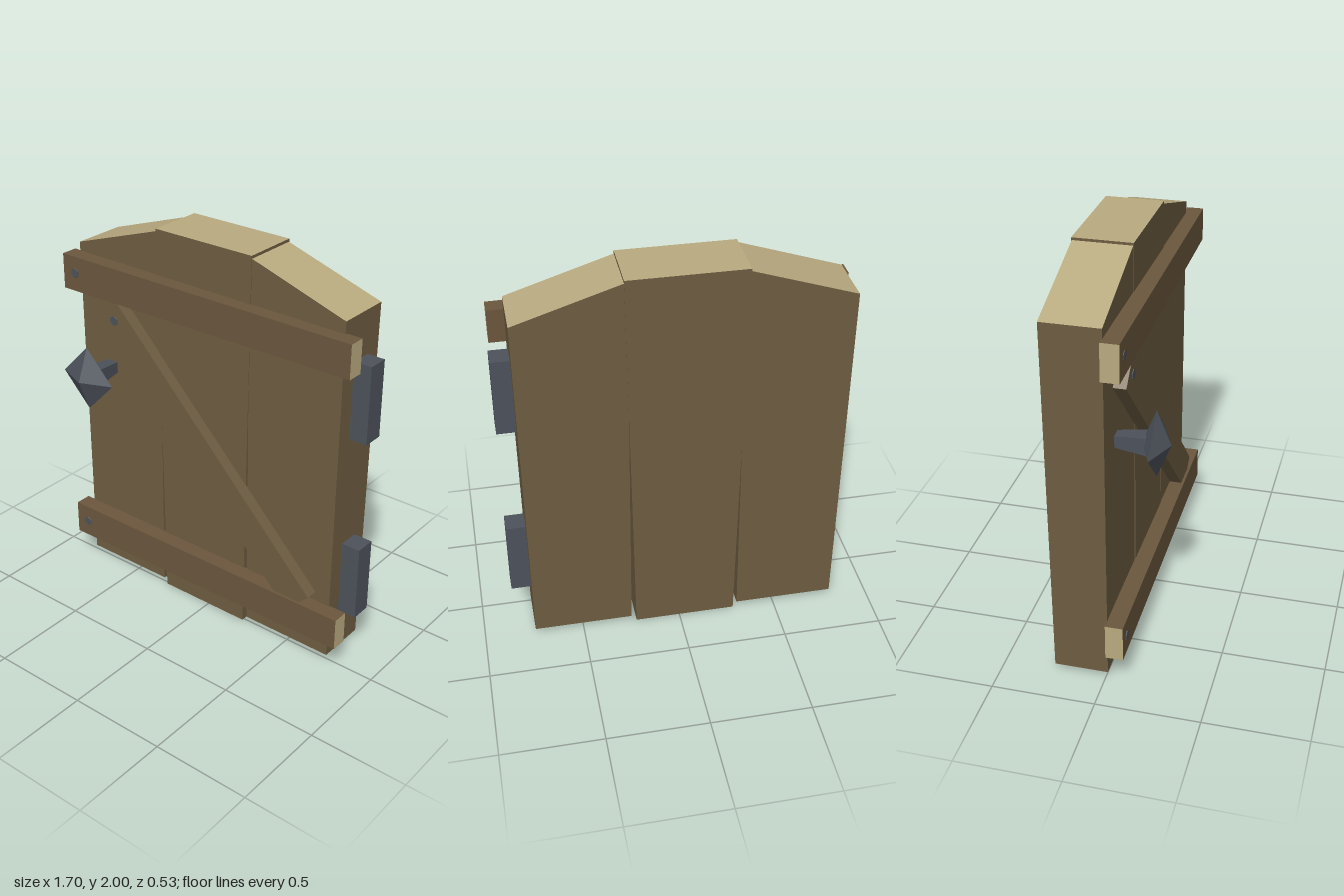
import * as THREE from 'three';

const mat = (name, color, side = THREE.FrontSide) => {
  const m = new THREE.MeshStandardMaterial({ color, side });
  m.name = name;
  return m;
};

// Four-sided slab. Corners run counter-clockwise from bottom left as
// [x, y, zFront, zBack]; edges give the material index of the bottom, right,
// top and left faces (null leaves that face open).
function slab(corners, edges) {
  const geo = new THREE.BufferGeometry();
  const pos = [];
  const front = corners.map(([x, y, f]) => [x, y, f]);
  const back = corners.map(([x, y, , b]) => [x, y, b]);
  const quad = (a, b, c, d, material) => {
    geo.addGroup(pos.length / 3, 6, material);
    pos.push(...a, ...b, ...c, ...a, ...c, ...d);
  };
  quad(...front, 0);
  quad(back[1], back[0], back[3], back[2], 0);
  edges.forEach((m, i) => {
    const j = (i + 1) % 4;
    if (m !== null) quad(front[i], back[i], back[j], front[j], m);
  });
  geo.setAttribute('position', new THREE.Float32BufferAttribute(pos, 3));
  geo.computeVertexNormals();
  return geo;
}

export function createModel() {
  const model = new THREE.Group();
  model.name = 'woodenDoor';
  const plankWood = mat('plank wood', 0x6e5d41, THREE.DoubleSide);
  const battenWood = mat('batten wood', 0x6c573d);
  const endGrain = mat('pale end grain', 0xb9ab80, THREE.DoubleSide);
  const iron = mat('dark iron', 0x4d525b);
  iron.flatShading = true;

  const add = (name, geo, material, x = 0, y = 0, z = 0) => {
    const mesh = new THREE.Mesh(geo, material);
    mesh.name = name;
    mesh.position.set(x, y, z);
    model.add(mesh);
    return mesh;
  };

  // Planks: open underneath, pale sawn tops, slightly tapered
  const planks = {
    rightPlank: [[-0.805, 0.03, 0.01, -0.25], [-0.305, 0.03, 0.01, -0.25],
      [-0.293, 1.993, 0.015, -0.262], [-0.812, 1.82, 0.015, -0.262]],
    middlePlank: [[-0.285, 0, 0.012, -0.252], [0.225, 0, 0.012, -0.252],
      [0.25, 2, 0.018, -0.265], [-0.31, 2, 0.018, -0.265]],
    leftPlank: [[0.25, 0.03, 0.01, -0.25], [0.745, 0.03, 0.01, -0.25],
      [0.756, 1.825, 0.015, -0.262], [0.236, 1.99, 0.015, -0.262]],
  };
  for (const [name, corners] of Object.entries(planks))
    add(name, slab(corners, [null, 0, 1, 0]), [plankWood, endGrain]);

  // Cross battens with pale ends
  for (const [name, y] of [['upperBatten', 1.595], ['lowerBatten', 0.155]])
    add(name, slab([[-0.85, y, 0.097, 0.012], [0.835, y + 0.003, 0.087, 0.004],
      [0.835, y + 0.17, 0.087, 0.004], [-0.85, y + 0.18, 0.097, 0.012]],
    [0, 1, 0, 1]), [battenWood, endGrain]);

  // Diagonal brace
  const brace = add('diagonalBrace', new THREE.BoxGeometry(1.715, 0.18, 0.065),
    plankWood, 0, 0.925, 0.042);
  brace.rotation.z = -Math.atan2(1.225, 1.2);

  // Nail heads
  for (const [x, y, z] of [[-0.775, 1.69, 0.097], [-0.775, 0.245, 0.097], [-0.545, 1.49, 0.075]])
    add('nailHead', new THREE.CylinderGeometry(0.025, 0.027, 0.006, 6), iron, x, y, z)
      .rotation.x = Math.PI / 2;

  // Hinges
  for (const [name, y] of [['upperHinge', 1.41], ['lowerHinge', 0.453]])
    add(name, new THREE.BoxGeometry(0.11, 0.388, 0.106), iron, 0.79, y, -0.123);

  // Faceted knob on a flared square stem
  add('knob', new THREE.OctahedronGeometry(1), iron, -0.62, 1.2, 0.198)
    .scale.set(0.162, 0.167, 0.067);
  const stem = new THREE.CylinderGeometry(0.062, 0.04, 0.155, 4);
  stem.rotateY(Math.PI / 4);
  stem.rotateX(Math.PI / 2);
  add('knobStem', stem, iron, -0.62, 1.2, 0.083);

  return model;
}
